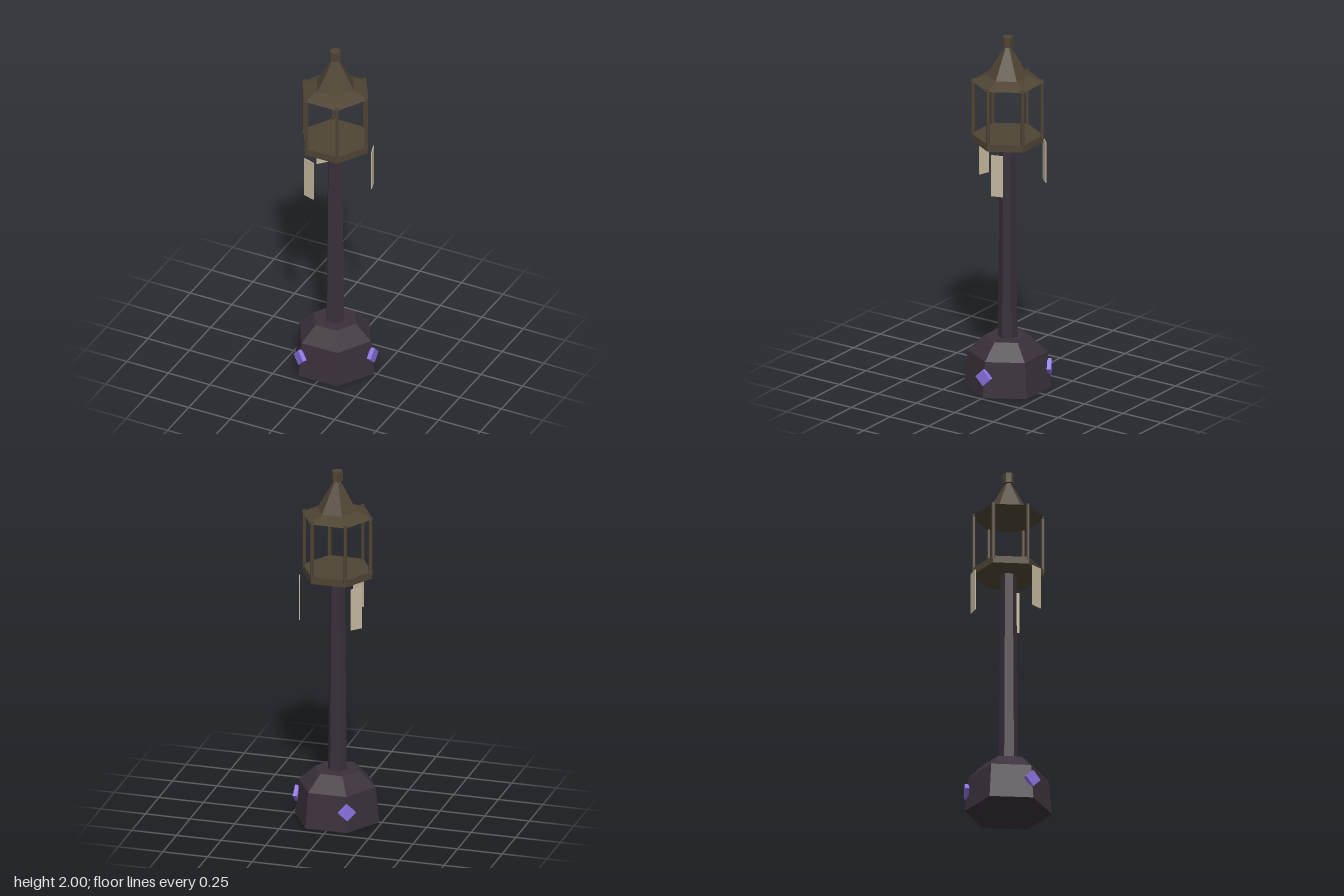
import * as THREE from 'three';

const material = (name, color) => {
  const m = new THREE.MeshStandardMaterial({ color, flatShading: true });
  m.name = name;
  return m;
};

export function createModel() {
  const stone = material('dark stone', 0x3a303a);
  const bronze = material('aged bronze', 0x4f4434);
  const crystal = material('violet crystal', 0x8a70e0);
  const paper = material('pale paper', 0xc4b89e);

  const model = new THREE.Group();
  model.name = 'lanternPost';

  const add = (name, geometry, mat, parent = model) => {
    const mesh = new THREE.Mesh(geometry, mat);
    mesh.name = name;
    parent.add(mesh);
    return mesh;
  };

  // Six-sided solid from [radius, height] pairs, with corners on the x axis
  const hexSolid = (profile) =>
    new THREE.LatheGeometry(profile.map(([r, y]) => new THREE.Vector2(r, y)), 6, Math.PI / 2);

  const group = (name) => {
    const g = new THREE.Group();
    g.name = name;
    model.add(g);
    return g;
  };

  // Places a mesh around the axis with its local +z pointing outward
  const placeAround = (mesh, degrees, radius, y) => {
    const a = THREE.MathUtils.degToRad(degrees);
    mesh.position.set(Math.cos(a) * radius, y, Math.sin(a) * radius);
    mesh.rotation.y = Math.PI / 2 - a;
  };

  // Base and tapering pole
  add('base', hexSolid([[0, 0], [0.236, 0], [0.215, 0.2], [0.125, 0.285], [0, 0.285]]), stone);
  add('pole', hexSolid([[0, 0.27], [0.053, 0.27], [0.042, 1.41], [0, 1.41]]), stone);

  // Diamond-set crystals on three corners of the base
  const crystals = group('crystals');
  for (const angle of [0, 120, 240]) {
    const geometry = new THREE.BoxGeometry(0.067, 0.067, 0.023).rotateZ(Math.PI / 4);
    placeAround(add('crystal', geometry, crystal, crystals), angle, 0.225, 0.115);
  }

  // Lantern floor, roof and finial
  add('lanternFloor', hexSolid([[0, 1.4], [0.193, 1.4], [0.193, 1.44], [0, 1.44]]), bronze);
  add('roof', hexSolid([[0, 1.744], [0.199, 1.744], [0.112, 1.778], [0.005, 1.965], [0, 1.965]]), bronze);
  add('finial', hexSolid([[0, 1.945], [0.031, 1.945], [0.031, 2], [0, 2]]), bronze);

  // Corner posts, their tips just showing above the eaves
  const posts = group('posts');
  for (let i = 0; i < 6; i++) {
    const geometry = new THREE.CylinderGeometry(0.01, 0.01, 0.335, 6);
    placeAround(add('post', geometry, bronze, posts), i * 60, 0.186, 1.5875);
  }

  // Paper strips hanging below the lantern
  const strips = group('paperStrips');
  for (const angle of [-18, 107, 223]) {
    const geometry = new THREE.BoxGeometry(0.067, 0.235, 0.005);
    placeAround(add('paperStrip', geometry, paper, strips), angle, 0.203, 1.273);
  }

  return model;
}
